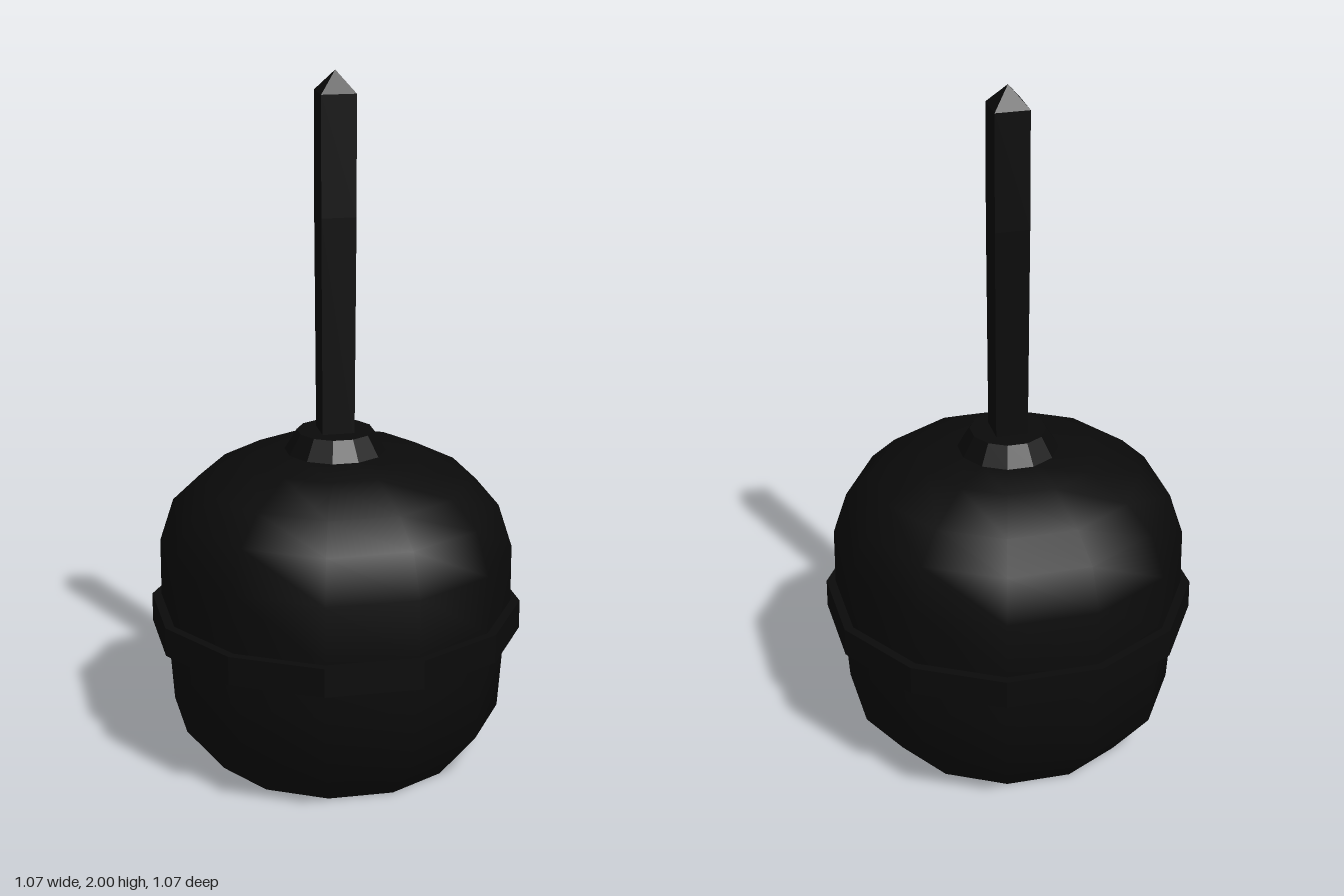
import * as THREE from 'three';

const black = new THREE.MeshStandardMaterial({ color: 0x0a0a0a });
const pale = new THREE.MeshStandardMaterial({ color: 0xcccccc });
const blackFlat = black.clone();
blackFlat.flatShading = true;
const paleFlat = pale.clone();
paleFlat.flatShading = true;

// Profile of [radius, height] points, listed bottom to top for outward faces
function turned(name, profile, material, sides = 12) {
  const points = profile.map(([r, y]) => new THREE.Vector2(r, y));
  const mesh = new THREE.Mesh(new THREE.LatheGeometry(points, sides), material);
  mesh.name = name;
  return mesh;
}

export function createModel() {
  const group = new THREE.Group();
  group.name = 'pendantLamp';

  // Outer shade: tapered lower bowl, projecting band and domed cap
  group.add(turned('lowerShade', [[0.36, 0], [0.475, 0.14], [0.487, 0.3], [0.487, 0.385]], black));
  group.add(turned('band', [[0.487, 0.385], [0.535, 0.385], [0.535, 0.468], [0.508, 0.468]], blackFlat));
  group.add(turned('upperShade', [
    [0.508, 0.468], [0.508, 0.635], [0.468, 0.76], [0.388, 0.837], [0.26, 0.903], [0.145, 0.92],
  ], black));

  // Open bottom: thin rim and pale lining, running top to bottom to face inward
  group.add(turned('rim', [[0.348, 0], [0.36, 0]], blackFlat));
  group.add(turned('lining', [
    [0, 0.91], [0.14, 0.908], [0.255, 0.89], [0.378, 0.825], [0.456, 0.752], [0.496, 0.632],
    [0.496, 0.46], [0.523, 0.46], [0.523, 0.393], [0.475, 0.393],
    [0.475, 0.3], [0.463, 0.143], [0.348, 0],
  ], paleFlat));

  // Collar and square stem with a pointed end
  group.add(turned('collar', [[0.145, 0.92], [0.11, 0.978], [0, 0.978]], blackFlat));
  group.add(turned('stem', [[0.065, 0.95], [0.07, 1.6], [0.07, 1.94], [0, 2]], blackFlat, 4));

  return group;
}
